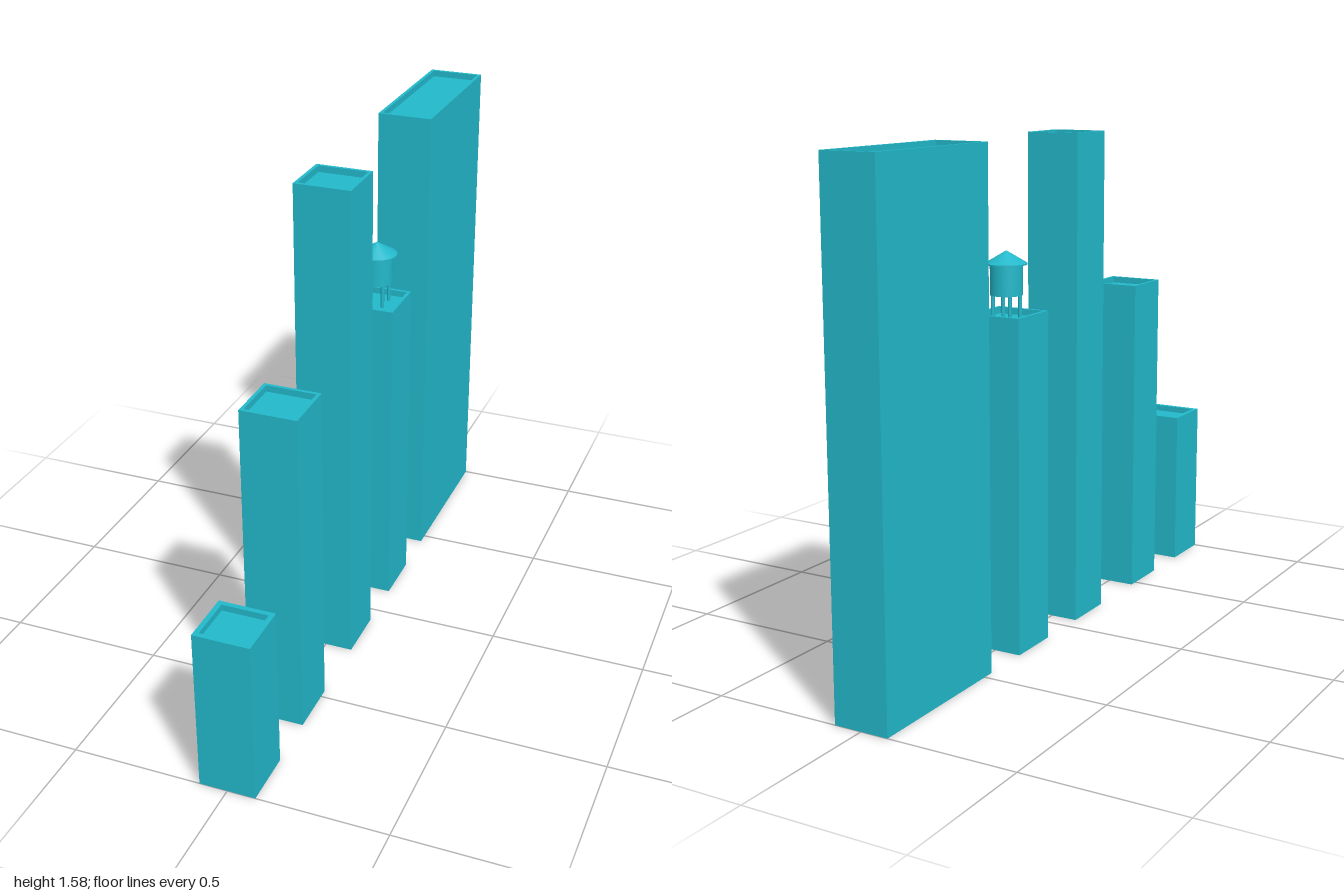
import * as THREE from 'three';

const material = new THREE.MeshStandardMaterial({ color: 0x22b8ca });
material.name = 'cyan';

const WIDTH = 0.178;
const RECESS = 0.02;

function addMesh(parent, name, geometry, x, y, z) {
  const mesh = new THREE.Mesh(geometry, material);
  mesh.name = name;
  mesh.position.set(x, y, z);
  parent.add(mesh);
  return mesh;
}

// Rectangle path centred on the origin
function rectangle(path, w, d) {
  path.moveTo(-w / 2, -d / 2);
  path.lineTo(w / 2, -d / 2);
  path.lineTo(w / 2, d / 2);
  path.lineTo(-w / 2, d / 2);
  path.closePath();
  return path;
}

// Plain tower block with a raised parapet around a sunken flat roof
function createTower(name, height, depth, z, rim) {
  const tower = new THREE.Group();
  tower.name = name;
  tower.position.z = z;
  const bodyHeight = height - RECESS;
  addMesh(tower, 'towerBody', new THREE.BoxGeometry(WIDTH, bodyHeight, depth), 0, bodyHeight / 2, 0);

  const ring = rectangle(new THREE.Shape(), WIDTH, depth);
  ring.holes.push(rectangle(new THREE.Path(), WIDTH - rim * 2, depth - rim * 2));
  const parapet = new THREE.ExtrudeGeometry(ring, { depth: RECESS, bevelEnabled: false });
  parapet.rotateX(-Math.PI / 2);
  addMesh(tower, 'parapet', parapet, 0, bodyHeight, 0);
  return tower;
}

// Rooftop water tank on four legs with a conical lid
function createWaterTank(floorY, z) {
  const tank = new THREE.Group();
  tank.name = 'waterTank';
  tank.position.set(0, floorY, z);
  const legHeight = 0.075;
  const drumHeight = 0.095;
  for (const sx of [-1, 1]) {
    for (const sz of [-1, 1]) {
      addMesh(tank, 'tankLeg', new THREE.CylinderGeometry(0.006, 0.006, legHeight, 12),
        sx * 0.03, legHeight / 2, sz * 0.03);
    }
  }
  addMesh(tank, 'tankDrum', new THREE.CylinderGeometry(0.05, 0.05, drumHeight, 40),
    0, legHeight + drumHeight / 2, 0);
  const eaves = legHeight + drumHeight;
  addMesh(tank, 'tankEaves', new THREE.CylinderGeometry(0.064, 0.064, 0.004, 40), 0, eaves, 0);
  addMesh(tank, 'tankRoof', new THREE.ConeGeometry(0.064, 0.038, 40), 0, eaves + 0.021, 0);
  return tank;
}

export function createModel() {
  const model = new THREE.Group();
  model.name = 'towerRow';
  // name, height, depth, centre z, parapet thickness
  const towers = [
    ['shortTower', 0.528, WIDTH, 0.911, 0.016],
    ['mediumTower', 1.056, WIDTH, 0.56, 0.011],
    ['tallTower', 1.584, WIDTH, 0.151, 0.011],
    ['tankTower', 1.056, WIDTH, -0.209, 0.011],
    ['slabTower', 1.584, 0.538, -0.731, 0.011],
  ];
  for (const spec of towers) model.add(createTower(...spec));
  model.add(createWaterTank(1.056 - RECESS, -0.219));
  return model;
}
